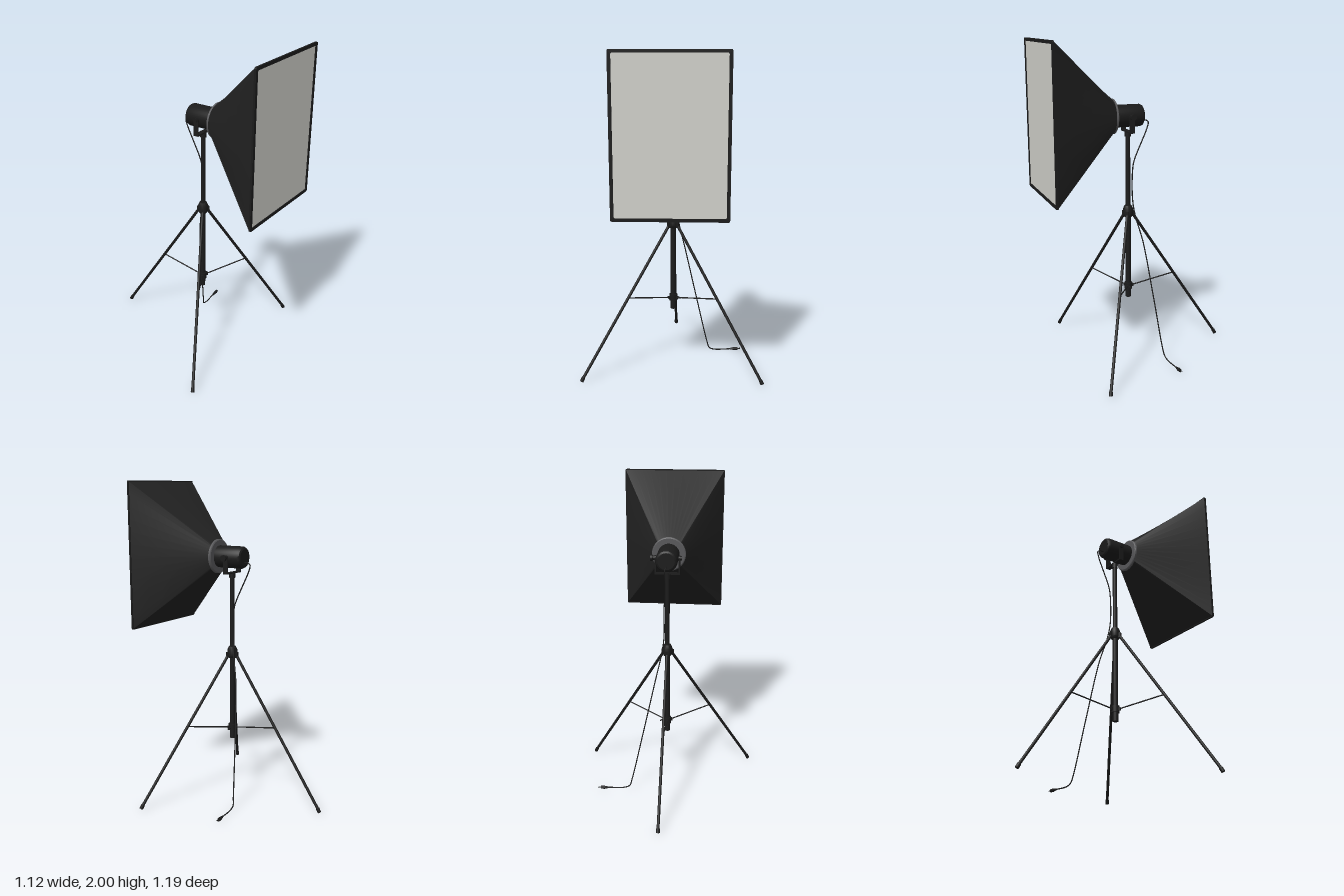
import * as THREE from 'three';
import { toCreasedNormals } from 'three/addons/utils/BufferGeometryUtils.js';

const mat = (name, color, side = THREE.FrontSide) => {
  const m = new THREE.MeshStandardMaterial({ color, side });
  m.name = name;
  return m;
};
const V = (x, y, z) => new THREE.Vector3(x, y, z);

export function createModel() {
  const black = mat('black metal', 0x1b1b1b);
  const fabric = mat('black fabric', 0x222222, THREE.DoubleSide);
  const white = mat('diffuser cloth', 0xd2d2cc);
  const grey = mat('grey ring', 0x58585a);
  const group = new THREE.Group();
  const axisZ = 0.05, lampY = 1.54;

  const add = (name, geo, material, x = 0, y = 0, z = 0, parent = group) => {
    const mesh = new THREE.Mesh(geo, material);
    mesh.name = name;
    mesh.position.set(x, y, z);
    parent.add(mesh);
    return mesh;
  };
  // round bar between two points
  const rod = (name, a, b, r, parent = group, r2 = r) => {
    const d = b.clone().sub(a);
    const mesh = add(name, new THREE.CylinderGeometry(r2, r, d.length(), 16), black, 0, 0, 0, parent);
    mesh.position.copy(a).addScaledVector(d, 0.5);
    mesh.quaternion.setFromUnitVectors(V(0, 1, 0), d.normalize());
    return mesh;
  };
  const lathe = (pts, seg = 32) =>
    toCreasedNormals(new THREE.LatheGeometry(pts.map(p => new THREE.Vector2(...p)), seg), 0.5);

  // Softbox: four panels lofted from a round throat to a rectangular mouth
  const halfW = 0.325, halfH = 0.457, throatR = 0.105, throatZ = 0.155, mouthZ = 0.588;
  const corners = [[1, -1], [1, 1], [-1, 1], [-1, -1]];
  const N = 12;
  for (let s = 0; s < 4; s++) {
    const [c0, c1] = [corners[s], corners[(s + 1) % 4]];
    const pos = [], idx = [];
    for (let i = 0; i <= N; i++) {
      const t = i / N;
      const a = -Math.PI / 4 + (s + t) * Math.PI / 2;
      pos.push(throatR * Math.cos(a), throatR * Math.sin(a), throatZ);
      pos.push(halfW * (c0[0] + (c1[0] - c0[0]) * t), halfH * (c0[1] + (c1[1] - c0[1]) * t), mouthZ);
      if (i < N) {
        const k = i * 2;
        idx.push(k, k + 2, k + 1, k + 1, k + 2, k + 3);
      }
    }
    const panel = new THREE.BufferGeometry();
    panel.setAttribute('position', new THREE.Float32BufferAttribute(pos, 3));
    panel.setIndex(idx);
    panel.computeVertexNormals();
    add('softboxPanel', panel, fabric, 0, lampY, 0);
  }

  // Mouth border and diffuser
  const roundRect = (S, w, h, r) => {
    const s = new S();
    s.moveTo(-w + r, -h);
    s.lineTo(w - r, -h); s.quadraticCurveTo(w, -h, w, -h + r);
    s.lineTo(w, h - r); s.quadraticCurveTo(w, h, w - r, h);
    s.lineTo(-w + r, h); s.quadraticCurveTo(-w, h, -w, h - r);
    s.lineTo(-w, -h + r); s.quadraticCurveTo(-w, -h, -w + r, -h);
    return s;
  };
  const border = roundRect(THREE.Shape, 0.327, 0.46, 0.012);
  border.holes.push(roundRect(THREE.Path, 0.308, 0.441, 0.008));
  add('softboxBorder', new THREE.ExtrudeGeometry(border, { depth: 0.012, bevelEnabled: false }),
    black, 0, lampY, 0.584);
  add('diffuser', new THREE.BoxGeometry(0.63, 0.895, 0.006), white, 0, lampY, 0.588);

  // Mounting ring between lamp and softbox
  const ring = add('mountingRing', lathe([[0.066, 0], [0.1, 0], [0.106, 0.004], [0.106, 0.018],
    [0.066, 0.018], [0.066, 0]], 40), grey, 0, lampY, 0.141);
  ring.rotation.x = Math.PI / 2;

  // Lamp housing
  const lamp = add('lampHousing', lathe([[0, -0.042], [0.052, -0.042], [0.062, -0.036], [0.068, -0.024],
    [0.068, 0.15], [0, 0.15]], 40), black, 0, lampY, 0);
  lamp.rotation.x = Math.PI / 2;

  // Yoke: side arms, cross bar and pivot knobs
  const armShape = new THREE.Shape();
  armShape.moveTo(-0.016, -0.1);
  armShape.lineTo(0.016, -0.1);
  armShape.lineTo(0.016, 0);
  armShape.absarc(0, 0, 0.016, 0, Math.PI, false);
  armShape.lineTo(-0.016, -0.1);
  for (const side of [-1, 1]) {
    const arm = add('yokeArm', new THREE.ExtrudeGeometry(armShape, { depth: 0.008, bevelEnabled: false }),
      black, side * 0.074 - 0.004, lampY, axisZ);
    arm.rotation.y = Math.PI / 2;
    rod('pivotBoss', V(side * 0.06, lampY, axisZ), V(side * 0.088, lampY, axisZ), 0.013);
  }
  add('yokeBar', new THREE.BoxGeometry(0.156, 0.008, 0.032), black, 0, 1.444, axisZ);
  rod('knobShaft', V(0.085, lampY, axisZ), V(0.095, lampY, axisZ), 0.007);
  rod('tiltKnob', V(0.091, lampY, axisZ), V(0.105, lampY, axisZ), 0.019);

  // Telescopic pole
  rod('lowerPole', V(0, 0.37, axisZ), V(0, 0.94, axisZ), 0.017);
  rod('upperPole', V(0, 0.93, axisZ), V(0, 1.45, axisZ), 0.0145);
  add('poleSocket', new THREE.CylinderGeometry(0.019, 0.019, 0.035, 20), black, 0, 1.43, axisZ);
  add('upperHub', lathe([[0, -0.035], [0.024, -0.035], [0.031, -0.022], [0.031, 0.018], [0.022, 0.038],
    [0, 0.038]], 24), black, 0, 0.94, axisZ);
  add('lowerCollar', new THREE.CylinderGeometry(0.025, 0.025, 0.042, 20), black, 0, 0.445, axisZ);
  rod('collarScrew', V(0.02, 0.443, axisZ), V(0.05, 0.439, axisZ), 0.005);

  // Three legs with braces and feet
  for (let i = 0; i < 3; i++) {
    const leg = new THREE.Group();
    leg.name = 'tripodLeg';
    leg.position.z = axisZ;
    leg.rotation.y = i * Math.PI * 2 / 3;
    group.add(leg);
    rod('legTube', V(0, 0.925, -0.028), V(0, 0.018, -0.632), 0.009, leg);
    rod('foot', V(0, 0.03, -0.624), V(0, 0.007, -0.637), 0.0115, leg);
    rod('brace', V(0, 0.445, -0.02), V(0, 0.493, -0.315), 0.004, leg);
    add('hubLug', new THREE.BoxGeometry(0.02, 0.034, 0.02), black, 0, 0.925, -0.03, leg);
    add('collarLug', new THREE.BoxGeometry(0.014, 0.018, 0.016), black, 0, 0.445, -0.026, leg);
  }

  // Power cable and plug
  const cable = new THREE.CatmullRomCurve3([
    V(0, 1.508, -0.035), V(0, 1.508, -0.065), V(0.004, 1.497, -0.082), V(0.006, 1.465, -0.076),
    V(0.015, 1.27, 0.012), V(0.019, 1.22, 0.025), V(0.02, 1.03, 0.028), V(0.035, 0.92, 0.016),
    V(0.072, 0.75, -0.023), V(0.15, 0.39, -0.066), V(0.222, 0.07, -0.1), V(0.236, 0.028, -0.108),
    V(0.27, 0.013, -0.113), V(0.385, 0.013, -0.124),
  ], false, 'centripetal');
  add('powerCable', new THREE.TubeGeometry(cable, 160, 0.0038, 8), black);
  rod('plugNeck', V(0.375, 0.013, -0.123), V(0.4, 0.013, -0.126), 0.005, group, 0.009);
  rod('plugBody', V(0.4, 0.013, -0.126), V(0.426, 0.013, -0.128), 0.01);
  for (const dz of [-0.005, 0.005])
    rod('plugPin', V(0.424, 0.013, -0.128 + dz), V(0.445, 0.013, -0.13 + dz), 0.002);

  return group;
}
